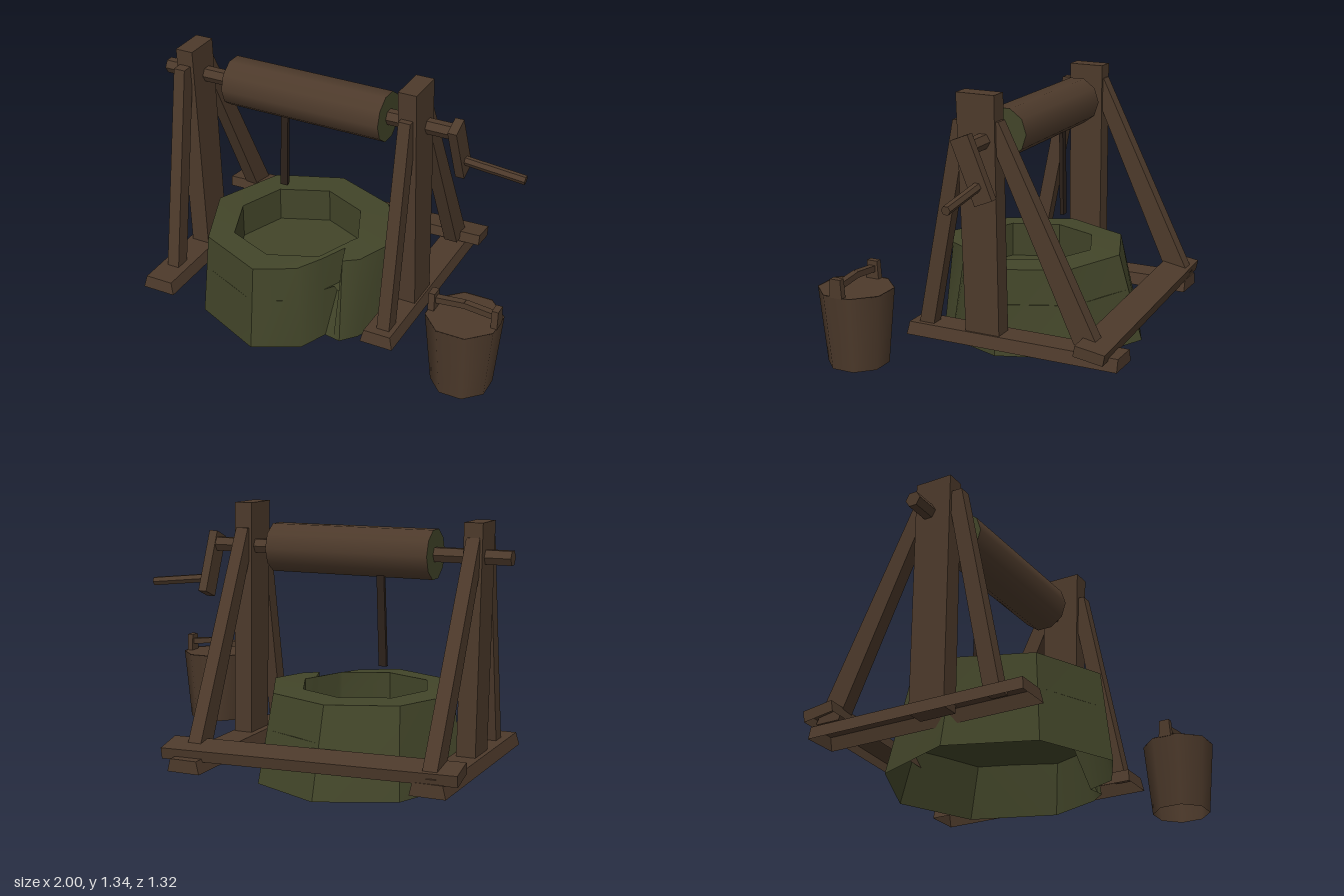
import * as THREE from 'three';
import { toCreasedNormals } from 'three/addons/utils/BufferGeometryUtils.js';

const wood = new THREE.MeshStandardMaterial({ color: 0x4d3a2b, side: THREE.DoubleSide });
wood.name = 'brownWood';
const moss = new THREE.MeshStandardMaterial({ color: 0x424529, side: THREE.DoubleSide });
moss.name = 'mossyStone';
const dark = new THREE.MeshStandardMaterial({ color: 0x2c211a });
dark.name = 'darkRope';

// Box whose bottom and top are separate rectangles [x0, x1, z0, z1]
function slab(y0, r0, y1, r1) {
  const g = new THREE.BoxGeometry(1, 1, 1);
  const p = g.attributes.position;
  for (let i = 0; i < p.count; i++) {
    const up = p.getY(i) > 0;
    const r = up ? r1 : r0;
    p.setXYZ(i, p.getX(i) < 0 ? r[0] : r[1], up ? y1 : y0, p.getZ(i) < 0 ? r[2] : r[3]);
  }
  g.computeVertexNormals();
  return g;
}

// Removes the underside of a box
function openBelow(g) {
  g.clearGroups();
  g.setIndex(Array.from(g.index.array).filter((_, i) => i < 18 || i >= 24));
  return g;
}

// Round bar between two points
function bar(a, b, radius, sides) {
  const from = new THREE.Vector3(...a), to = new THREE.Vector3(...b);
  const dir = to.clone().sub(from);
  const g = new THREE.CylinderGeometry(radius, radius, dir.length(), sides).toNonIndexed();
  g.computeVertexNormals();
  g.applyQuaternion(new THREE.Quaternion().setFromUnitVectors(new THREE.Vector3(0, 1, 0), dir.normalize()));
  const mid = from.add(to).multiplyScalar(0.5);
  return g.translate(mid.x, mid.y, mid.z);
}

// Skin joining rings of [x, z] points; with a centre, the last ring is closed
function skin(rings, heights, centre) {
  const v = [];
  const at = (k, i) => [rings[k][i][0], heights[k], rings[k][i][1]];
  const n = rings[0].length;
  const last = rings.length - 1;
  for (let i = 0; i < n; i++) {
    const j = (i + 1) % n;
    for (let k = 0; k < last; k++) {
      v.push(...at(k, i), ...at(k + 1, i), ...at(k, j));
      v.push(...at(k + 1, i), ...at(k + 1, j), ...at(k, j));
    }
    if (centre) v.push(...at(last, i), centre[0], heights[last], centre[1], ...at(last, j));
  }
  const g = new THREE.BufferGeometry();
  g.setAttribute('position', new THREE.Float32BufferAttribute(v, 3));
  return toCreasedNormals(g, 0.7);
}

export function createModel() {
  const model = new THREE.Group();
  model.name = 'well';
  const add = (name, geometry, material = wood, parent = model) => {
    const mesh = new THREE.Mesh(geometry, material);
    mesh.name = name;
    parent.add(mesh);
    return mesh;
  };

  // Stone ring with a chipped front corner
  const foot = [[0.29, 0.06], [0.2, 0.31], [0.135, 0.385], [0.1, 0.38], [0.05, 0.37], [-0.01, 0.51],
    [-0.23, 0.625], [-0.6, 0.46], [-0.76, 0.06], [-0.6, -0.34], [-0.23, -0.51], [0.14, -0.34]];
  const rim = [[0.26, 0.09], [0.19, 0.27], [0.12, 0.32], [0.09, 0.19], [0.025, 0.345], [-0.045, 0.475],
    [-0.23, 0.575], [-0.57, 0.43], [-0.71, 0.09], [-0.56, -0.25], [-0.23, -0.38], [0.1, -0.25]];
  const mouth = [[0.1, 0.11], [0.08, 0.15], [0.07, 0.18], [0.06, 0.2], [0.01, 0.33], [0, 0.345],
    [-0.23, 0.44], [-0.47, 0.345], [-0.56, 0.11], [-0.47, -0.12], [-0.23, -0.22], [0, -0.12]];
  add('stoneRing', skin([foot, rim, mouth, mouth], [0, 0.435, 0.44, 0.26]), moss);
  // Floor reaching the inside of the outer wall
  const floor = foot.map((p, i) => p.map((c, k) => c + (rim[i][k] - c) * 0.6));
  add('floor', skin([floor], [0.26], [-0.23, 0.11]), moss);

  // Side frames: sill, post and two braces each
  const sides = [
    { name: 'left', x: 0.38, foot: 0.382, top: 1.335, z: [-0.02, 0.18], sill: [0.285, 0.455, -0.66, 0.46] },
    { name: 'right', x: -0.828, foot: -0.814, top: 1.28, z: [-0.03, 0.155], sill: [-0.9, -0.725, -0.55, 0.55] }
  ];
  for (const s of sides) {
    const frame = new THREE.Group();
    frame.name = s.name + 'Frame';
    model.add(frame);
    const [a, b, c, d] = s.sill;
    add('sill', openBelow(slab(0.105, s.sill, 0.168, [a + 0.015, b - 0.015, c, d - 0.01])), wood, frame);
    add('post', slab(0.13, [s.foot - 0.048, s.foot + 0.048, -0.04, 0.14],
      s.top, [s.x - 0.046, s.x + 0.046, ...s.z]), wood, frame);
    add('frontBrace', slab(0.15, [s.foot - 0.033, s.foot + 0.033, 0.33, 0.41],
      1.2, [s.x - 0.03, s.x + 0.03, 0.13, 0.207]), wood, frame);
    add('backBrace', slab(0.19, [s.foot - 0.038, s.foot + 0.032, -0.55, -0.425],
      1.21, [s.x - 0.033, s.x + 0.033, -0.035, 0.05]), wood, frame);
  }

  // Cross beam joining the frames at the back
  const beam = add('backBeam', openBelow(new THREE.BoxGeometry(1.465, 0.055, 0.15)));
  beam.position.set(-0.215, 0.198, -0.507);
  beam.rotation.set(-0.18, 0.054, 0);

  // Drum with stone-coloured ends, on an axle
  const drum = add('drum', new THREE.CylinderGeometry(0.124, 0.124, 0.845, 10), [wood, moss, moss]);
  drum.rotation.z = Math.PI / 2;
  drum.position.set(-0.197, 1.117, 0.04);
  add('axle', bar([-1, 1.117, 0.038], [0.58, 1.117, 0.038], 0.039, 6));
  add('rope', slab(0.565, [-0.392, -0.352, -0.01, 0.01], 1.04, [-0.374, -0.336, -0.01, 0.01]), dark);

  // Crank
  const arm = add('crankArm', new THREE.BoxGeometry(0.045, 0.32, 0.097));
  arm.position.set(0.577, 1.018, 0.008);
  arm.rotation.x = Math.atan2(0.12, 0.29);
  add('crankHandle', bar([0.57, 0.948, -0.02], [0.897, 0.913, -0.03], 0.023, 6));

  // Bucket, open underneath, with an arched handle
  const bucket = new THREE.Group();
  bucket.name = 'bucket';
  bucket.position.set(0.83, 0, 0.493);
  model.add(bucket);
  const flat = Math.cos(Math.PI / 8);
  add('bucketBody', new THREE.CylinderGeometry(0.166 / flat, 0.134 / flat, 0.37, 8, 1, true)
    .rotateY(Math.PI / 8).translate(0, 0.28, 0), wood, bucket);
  add('bucketTop', new THREE.CircleGeometry(0.166 / flat, 8).rotateZ(Math.PI / 8)
    .rotateX(-Math.PI / 2).translate(0, 0.462, 0), wood, bucket);
  for (const s of [-1, 1]) {
    const x0 = s < 0 ? -0.169 : 0.138;
    add('handleEar', slab(0.46, [x0, x0 + 0.031, -0.033, 0.033],
      0.55, [x0, x0 + 0.031, -0.027, 0.027]), wood, bucket);
    const half = add('handleBar', new THREE.BoxGeometry(0.152, 0.03, 0.032), wood, bucket);
    half.position.set(s * 0.075, 0.518, 0);
    half.rotation.z = -s * 0.1;
  }
  return model;
}
